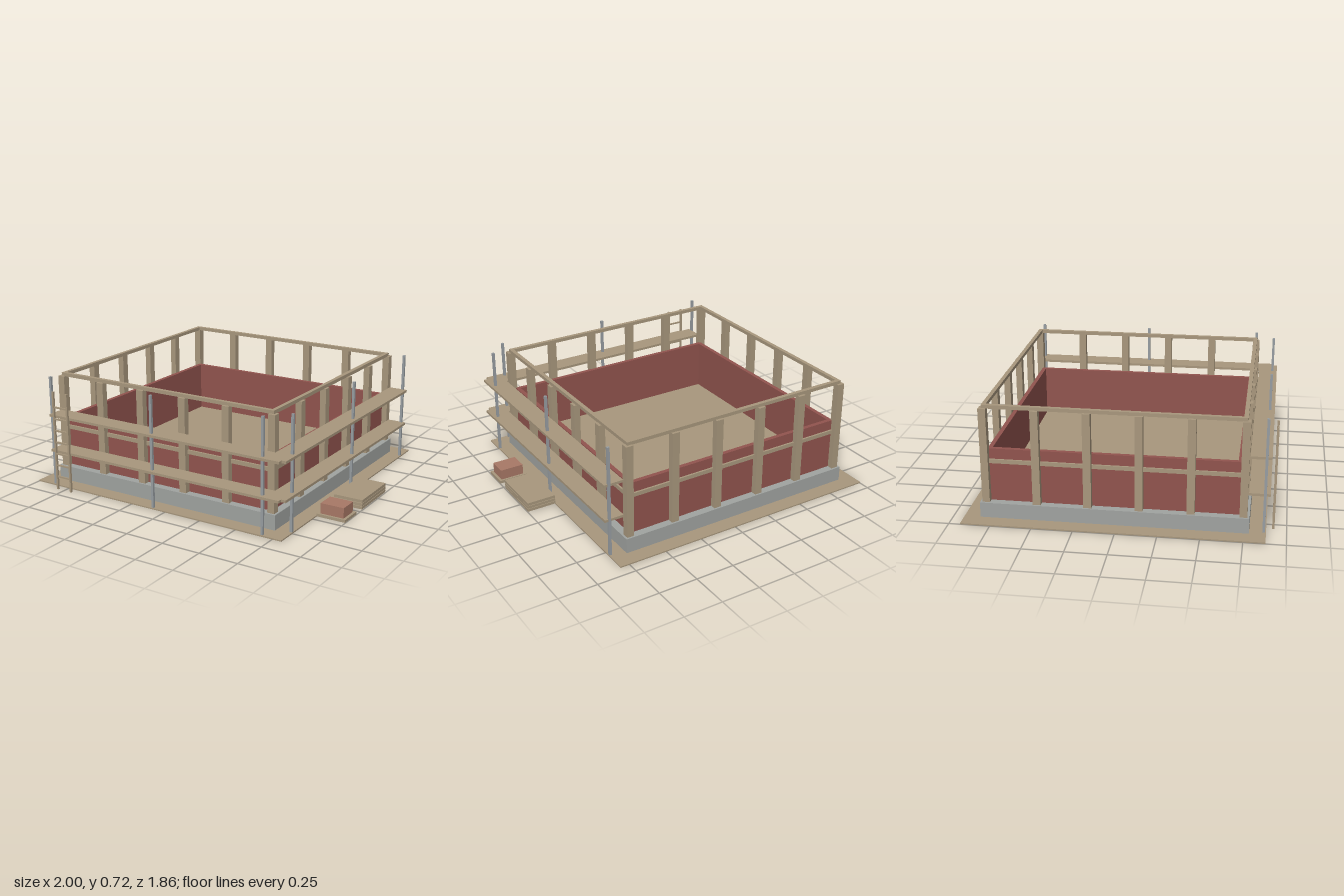
import * as THREE from 'three';

export function createModel() {
  const model = new THREE.Group();
  model.name = 'buildingSite';
  const mat = (name, color) => {
    const m = new THREE.MeshStandardMaterial({ color });
    m.name = name;
    return m;
  };
  const timber = mat('timber', 0xa8977d);
  const wallRed = mat('wallRed', 0x91544e);
  const concrete = mat('concrete', 0xa0a3a0);
  const steel = mat('steel', 0x979da1);
  const brick = mat('brick', 0xa87866);

  // Box given by its lower and upper corner
  const box = (parent, name, m, x0, x1, y0, y1, z0, z1) => {
    const mesh = new THREE.Mesh(new THREE.BoxGeometry(x1 - x0, y1 - y0, z1 - z0), m);
    mesh.position.set((x0 + x1) / 2, (y0 + y1) / 2, (z0 + z1) / 2);
    mesh.name = name;
    parent.add(mesh);
    return mesh;
  };
  const group = (name, x = 0, z = 0) => {
    const g = new THREE.Group();
    g.name = name;
    g.position.set(x, 0, z);
    model.add(g);
    return g;
  };
  // Four bars forming a square ring of outer half-size r and thickness t
  const ring = (parent, name, m, r, t, y0, y1) => {
    for (const s of [-1, 1]) {
      const a = s < 0 ? -r : r - t;
      box(parent, name, m, -r, r, y0, y1, a, a + t);
      box(parent, name, m, a, a + t, y0, y1, -r + t, r - t);
    }
  };

  // Ground and building base
  box(model, 'ground', timber, -1, 0.81, 0, 0.008, -0.93, 0.88);
  const house = group('building', -0.095, -0.025);
  box(house, 'foundation', concrete, -0.806, 0.806, 0.004, 0.103, -0.806, 0.806);
  box(house, 'floor', timber, -0.735, 0.735, 0.1, 0.108, -0.735, 0.735);

  // Walls with rails around them
  ring(house, 'wall', wallRed, 0.756, 0.027, 0.1, 0.438);
  ring(house, 'middleRail', timber, 0.768, 0.014, 0.348, 0.373);
  ring(house, 'topRail', timber, 0.777, 0.025, 0.698, 0.72);

  // Timber posts: four on each side and one at each corner
  const step = 0.307;
  for (const s of [-1, 1]) {
    for (let i = -1.5; i <= 1.5; i++) {
      const c = i * step, a = s < 0 ? -0.794 : 0.754;
      box(house, 'post', timber, c - 0.024, c + 0.024, 0.1, 0.7, a, a + 0.04);
      box(house, 'post', timber, a, a + 0.04, 0.1, 0.7, c - 0.024, c + 0.024);
    }
    for (const t of [-1, 1]) {
      const x = s * 0.77, z = t * 0.77;
      box(house, 'cornerPost', timber, x - 0.023, x + 0.023, 0.1, 0.7, z - 0.023, z + 0.023);
    }
  }

  // Scaffold along the front and the left side
  const scaffold = group('scaffold');
  const poles = [[-0.865, 0.866], [-0.093, 0.866], [0.677, 0.866], [0.8, 0.744], [0.8, -0.025], [0.8, -0.79]];
  for (const [x, z] of poles) {
    box(scaffold, 'pole', steel, x - 0.008, x + 0.008, 0, 0.72, z - 0.008, z + 0.008);
  }
  for (const y of [0.235, 0.467]) {
    box(scaffold, 'frontPlank', timber, -0.862, 0.8, y, y + 0.016, 0.772, 0.897);
    box(scaffold, 'sidePlank', timber, 0.705, 0.83, y, y + 0.016, -0.792, 0.87);
  }

  // Ladder leaning upright against the scaffold
  const ladder = group('ladder');
  for (const x of [-0.802, -0.695]) {
    box(ladder, 'ladderRail', timber, x - 0.006, x + 0.006, 0, 0.645, 0.914, 0.928);
  }
  for (let i = 0; i < 7; i++) {
    const y = 0.086 + i * 0.0765;
    box(ladder, 'rung', timber, -0.8, -0.697, y - 0.005, y + 0.005, 0.916, 0.926);
  }

  // Stack of boards
  const boards = group('boardStack');
  for (let i = 0; i < 3; i++) {
    const y = 0.006 + i * 0.021;
    box(boards, 'board', timber, 0.81, 1, y, y + 0.018, -0.112, 0.225);
    if (i) box(boards, 'spacer', timber, 0.815, 0.995, y - 0.003, y, -0.105, 0.218);
  }

  // Pallet of bricks
  const pallet = group('brickPallet');
  box(pallet, 'pallet', timber, 0.81, 1, 0.002, 0.02, 0.303, 0.455);
  box(pallet, 'brickPile', brick, 0.828, 0.982, 0.02, 0.086, 0.318, 0.44);

  return model;
}
